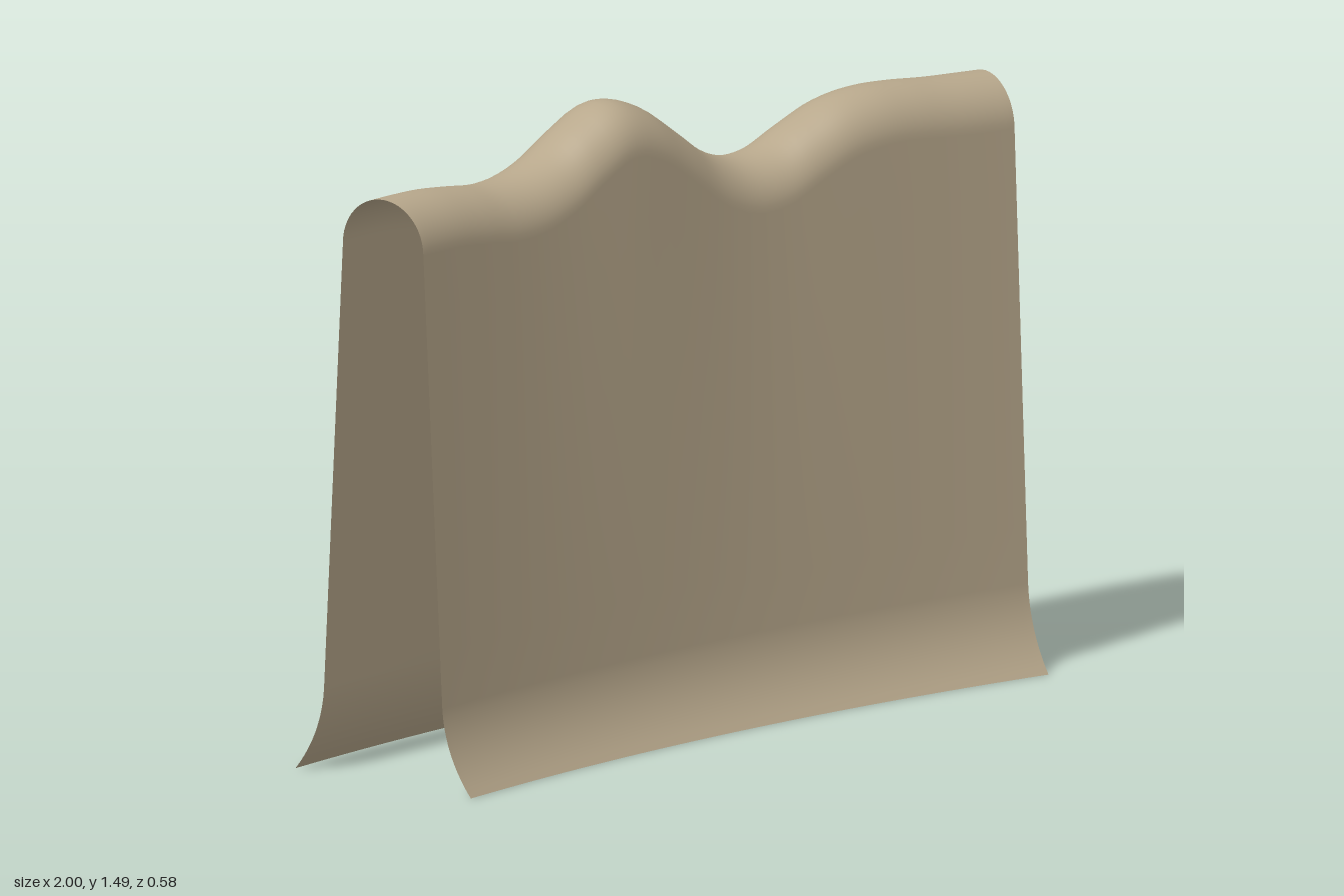
import * as THREE from 'three';

const CENTRE_Z = 6.1;      // centre of the plan arc
const CREST_R = 6.138;     // radius of the ridge line
const HALF_ANGLE = 0.157;
const CAP_R = 0.117;       // radius of the rounded ridge
const SEGMENTS = 80;

// Height of the wavy ridge along x
const ridge = new THREE.SplineCurve([
  [-1, 1.383], [-0.9, 1.382], [-0.8, 1.378], [-0.7, 1.367], [-0.6, 1.355], [-0.5, 1.362], [-0.4, 1.392],
  [-0.3, 1.445], [-0.2, 1.485], [-0.1, 1.46], [0, 1.395], [0.1, 1.325], [0.2, 1.29], [0.3, 1.297],
  [0.4, 1.34], [0.5, 1.38], [0.6, 1.396], [0.7, 1.395], [0.8, 1.388], [0.9, 1.385], [1, 1.383],
].map(([x, y]) => new THREE.Vector2(x, y)));

// Half cross-section (offset from centre line, height), from foot to ridge
function halfProfile(top) {
  const spring = top - CAP_R;
  const foot = new THREE.QuadraticBezierCurve(
    new THREE.Vector2(0.255, 0), new THREE.Vector2(0.18, 0.09), new THREE.Vector2(0.172, 0.2)
  ).getPoints(10);
  const wall = [];
  for (let i = 1; i < 8; i++) {
    const t = i / 8;
    wall.push(new THREE.Vector2(0.172 + (CAP_R - 0.172) * t, 0.2 + (spring - 0.2) * t));
  }
  const cap = [];
  for (let i = 0; i <= 12; i++) {
    const a = (i / 12) * Math.PI / 2;
    cap.push(new THREE.Vector2(CAP_R * Math.cos(a), spring + CAP_R * Math.sin(a)));
  }
  return [...foot, ...wall, ...cap];
}

// Full section: back foot, over the ridge, to front foot
function fullProfile(top) {
  const half = halfProfile(top);
  const back = half.map(p => new THREE.Vector2(-p.x, p.y));
  return [...back, ...half.slice(0, -1).reverse()];
}

export function createModel() {
  const group = new THREE.Group();
  group.name = 'curvedBarrier';

  // Open sheet: the section swept along the arc
  const rows = fullProfile(1.38).length;
  const geometry = new THREE.PlaneGeometry(1, 1, SEGMENTS, rows - 1);
  const pos = geometry.attributes.position;
  for (let i = 0; i <= SEGMENTS; i++) {
    const angle = HALF_ANGLE * (2 * i / SEGMENTS - 1);
    const x = CREST_R * Math.sin(angle);
    const top = ridge.getPoint((x + 1) / 2).y;
    fullProfile(top).forEach((p, j) => {
      const r = CREST_R - p.x;
      pos.setXYZ(j * (SEGMENTS + 1) + i, r * Math.sin(angle), p.y, CENTRE_Z - r * Math.cos(angle));
    });
  }
  geometry.computeVertexNormals();

  const shell = new THREE.Mesh(
    geometry,
    new THREE.MeshStandardMaterial({ color: 0xb8a88c, side: THREE.DoubleSide })
  );
  shell.name = 'shell';
  group.add(shell);
  return group;
}
